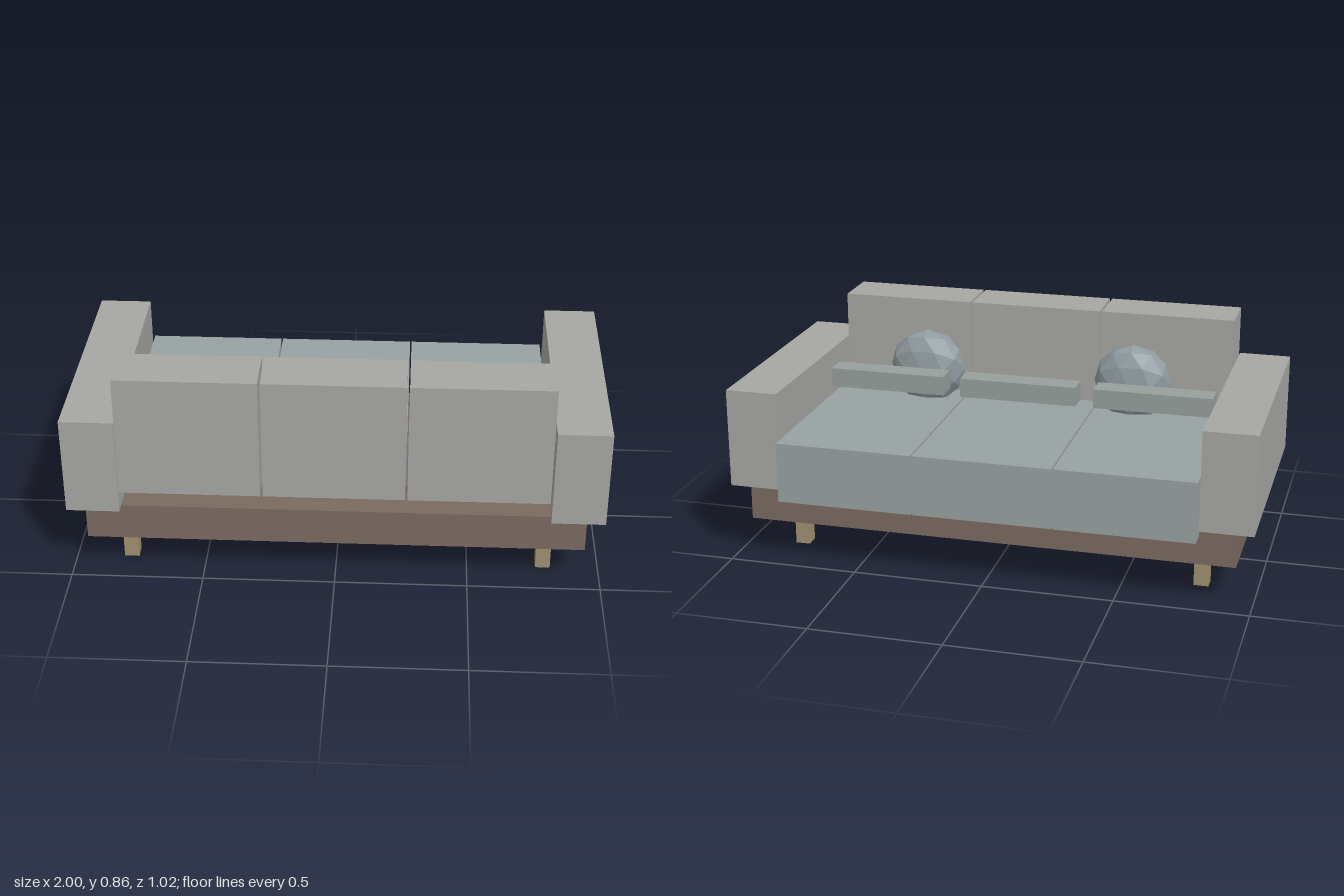
import * as THREE from 'three';

const paint = (color) => new THREE.MeshStandardMaterial({ color, flatShading: true });

export function createModel() {
  const sofa = new THREE.Group();
  sofa.name = 'sofa';

  const upholstery = paint(0xa6a7a3);
  const seatFabric = paint(0x98a2a2);
  const barFabric = paint(0x979f9c);
  const pillowFabric = paint(0x8f9ba0);
  const baseWood = paint(0x7a6a60);
  const legWood = paint(0x9f9070);

  // Box given by its limits along each axis
  function box(name, material, [x0, x1], [y0, y1], [z0, z1]) {
    const mesh = new THREE.Mesh(new THREE.BoxGeometry(x1 - x0, y1 - y0, z1 - z0), material);
    mesh.position.set((x0 + x1) / 2, (y0 + y1) / 2, (z0 + z1) / 2);
    mesh.name = name;
    sofa.add(mesh);
  }
  const around = (centre, half) => [centre - half, centre + half];

  // Base frame
  box('base', baseWood, [-0.935, 0.935], [0.15, 0.295], [-0.43, 0.458]);

  // Arms, legs and round pillows, one set per side
  for (const side of [-1, 1]) {
    box('arm', upholstery, around(side * 0.9, 0.1), [0.293, 0.675], [-0.467, 0.497]);

    for (const z of [-0.259, 0.339]) {
      box('leg', legWood, around(side * 0.79, 0.028), [0, 0.15], around(z, 0.028));
    }

    const pillow = new THREE.Mesh(
      new THREE.IcosahedronGeometry(1, 1).rotateX(Math.PI / 2).scale(0.153, 0.152, 0.083),
      pillowFabric
    );
    pillow.position.set(side * 0.419 - 0.003, 0.614, 0.202);
    pillow.name = 'pillow';
    sofa.add(pillow);
  }

  // Three seats, each with a back cushion and a small bolster
  for (const i of [-1, 0, 1]) {
    const x = i * 0.532 - 0.002;
    box('seatCushion', seatFabric, around(x, 0.263), [0.262, 0.495], [-0.508, 0.28]);
    box('backCushion', upholstery, around(x, 0.261), [0.385, 0.86], [0.308, 0.508]);
    box('bolster', barFabric, around(x, 0.231), [0.556, 0.631], [0.02, 0.114]);
  }

  return sofa;
}
